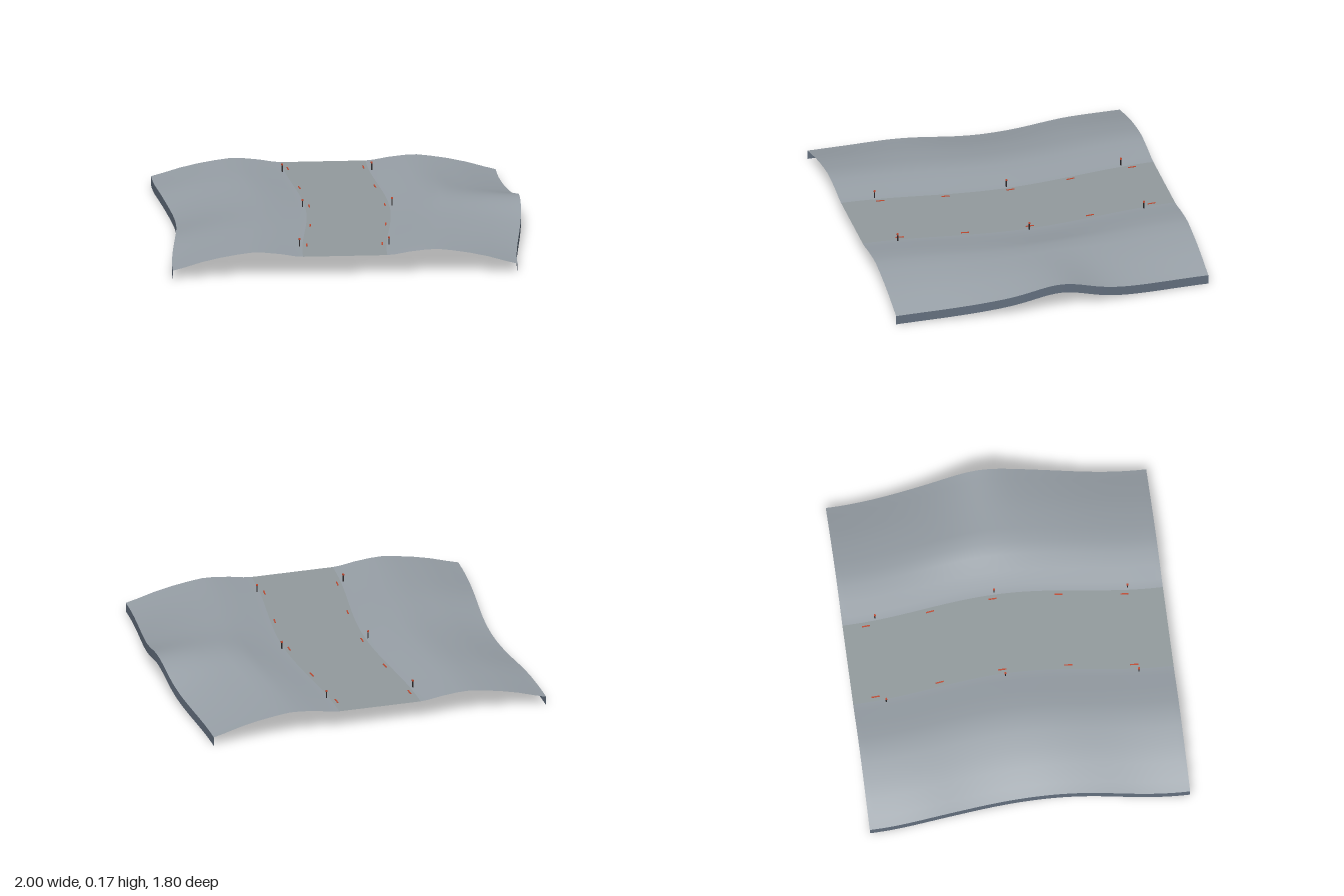
import * as THREE from 'three';

const HALF_LENGTH = 0.9, SKIRT = 0.053, ROWS = 48;

// Bank cross-section: distance from the centre line, height
const PROFILE = [
  [0.235, 0.12], [0.28, 0.124], [0.36, 0.138], [0.45, 0.148], [0.52, 0.15],
  [0.6, 0.14], [0.7, 0.123], [0.8, 0.1], [0.9, 0.07], [0.9625, SKIRT],
];

const mat = (name, color, side = THREE.FrontSide) => {
  const m = new THREE.MeshStandardMaterial({ color, side });
  m.name = name;
  return m;
};
const bell = (z, centre, width) => Math.exp(-(((z - centre) / width) ** 2));

// Sideways sway of the whole strip
const sway = (z) => 0.0375 * Math.cos((Math.PI * z) / HALF_LENGTH);

// Height of the bank: profile plus hills that grow towards the outer edge
function bankHeight(side, u, base, z) {
  const outer = Math.max(0, (u - 0.35) / 0.6125) ** 1.6;
  if (side < 0) return base + outer * (0.03 * bell(z, 0.35, 0.3) + 0.01 * bell(z, -0.55, 0.2));
  const hill = 0.065 * bell(z, 0.05, 0.46) + 0.047 * bell(z, -0.04, 0.2);
  return base + outer * hill + 0.013 * bell(u, 0.54, 0.1) * bell(z, -0.2, 0.28);
}

// Grid surface from cross-sections: point(column, z) gives [x, y]
function sheet(columns, point) {
  const pos = [], index = [];
  for (let r = 0; r <= ROWS; r++) {
    const z = HALF_LENGTH * ((2 * r) / ROWS - 1);
    for (let c = 0; c < columns; c++) {
      const [x, y] = point(c, z);
      pos.push(x, y, z);
      if (r < ROWS && c < columns - 1) {
        const a = r * columns + c, b = a + columns;
        index.push(a, b, a + 1, a + 1, b, b + 1);
      }
    }
  }
  const g = new THREE.BufferGeometry();
  g.setAttribute('position', new THREE.Float32BufferAttribute(pos, 3));
  g.setIndex(index);
  g.computeVertexNormals();
  return g;
}

export function createModel() {
  const root = new THREE.Group();
  root.name = 'terrainStrip';
  const bankMat = mat('bank grey', 0x979fa6, THREE.DoubleSide);
  const bedMat = mat('bed grey', 0x929a9d, THREE.DoubleSide);
  const skirtMat = mat('edge blue grey', 0x64707f, THREE.DoubleSide);
  const postMat = mat('post dark', 0x2b2728);
  const redMat = mat('marker red', 0xc0492f);

  const add = (name, geometry, material, parent = root) => {
    const m = new THREE.Mesh(geometry, material);
    m.name = name;
    parent.add(m);
    return m;
  };

  // Flat bed in the middle
  add('bed', sheet(2, (c, z) => [sway(z) + (c ? 0.235 : -0.235), 0.12]), bedMat);

  for (const side of [-1, 1]) {
    const label = side > 0 ? 'left' : 'right';
    const n = PROFILE.length;

    // Rolling bank, columns always running from low x to high x
    add(`${label}Bank`, sheet(n, (c, z) => {
      const [u, base] = PROFILE[side > 0 ? c : n - 1 - c];
      return [sway(z) + side * u, bankHeight(side, u, base, z)];
    }), bankMat);

    // Hanging outer edge
    add(`${label}Skirt`, sheet(2, (c, z) => {
      const [u, base] = PROFILE[n - 1];
      const drop = (side > 0 ? c === 1 : c === 0) ? SKIRT : 0;
      return [sway(z) + side * u, bankHeight(side, u, base, z) - drop];
    }), skirtMat);

    // Painted dashes along the bed
    for (const z of [-0.77, -0.405, -0.05, 0.318, 0.683]) {
      const dash = add(`${label}Dash`, new THREE.BoxGeometry(0.007, 0.003, 0.046), redMat);
      dash.position.set(sway(z) + side * 0.211, 0.1215, z);
      dash.rotation.y = Math.atan2(sway(z + 0.02) - sway(z - 0.02), 0.04);
    }

    // Marker posts with small caps
    for (const z of [-0.715, -0.037, 0.705]) {
      const post = new THREE.Group();
      post.name = `${label}MarkerPost`;
      post.position.set(sway(z) + side * 0.25, 0.12, z);
      add('postShaft', new THREE.BoxGeometry(0.006, 0.042, 0.006), postMat, post).position.y = 0.021;
      add('postCap', new THREE.BoxGeometry(0.01, 0.008, 0.01), redMat, post).position.y = 0.043;
      root.add(post);
    }
  }
  return root;
}
